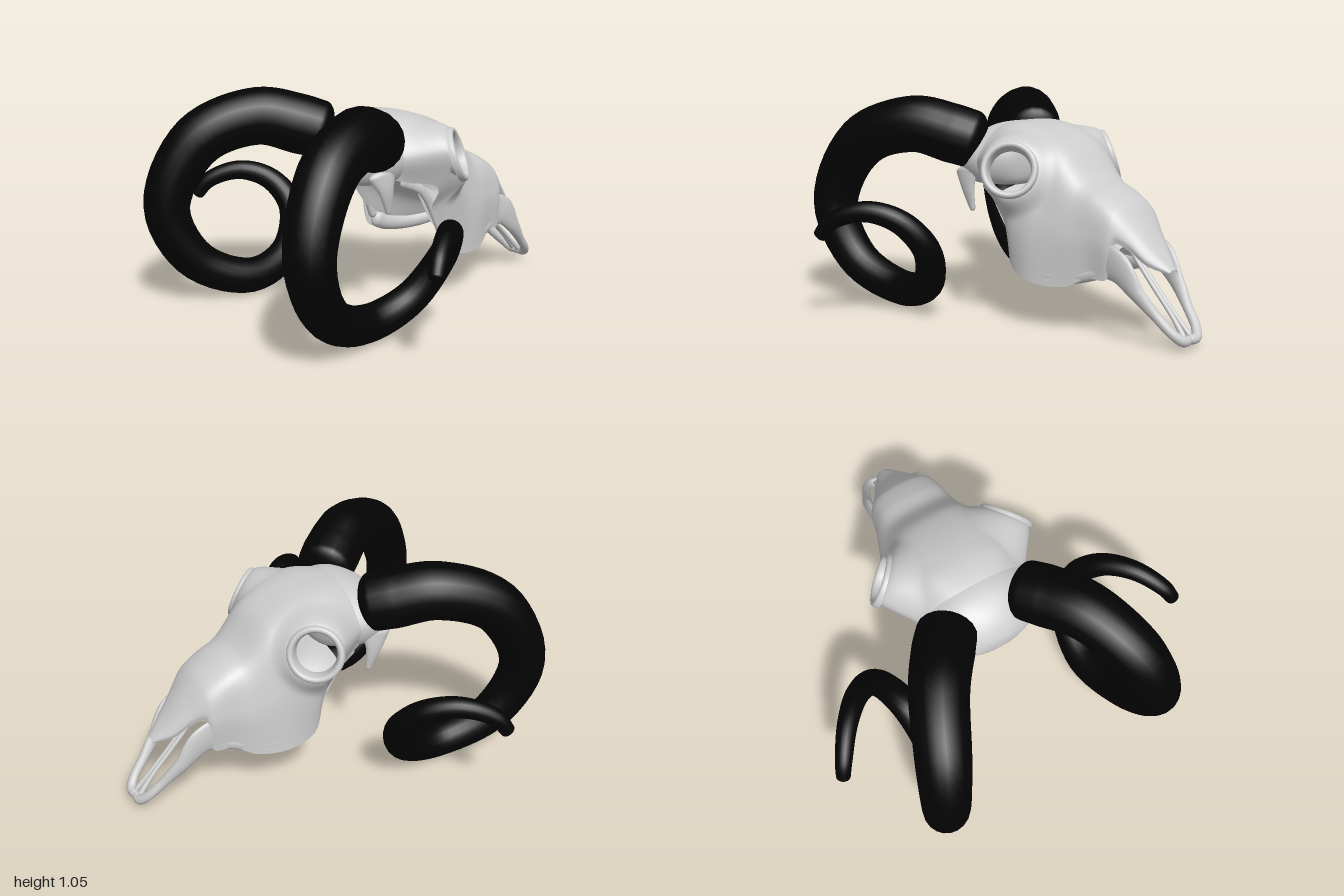
import * as THREE from 'three';

const bone = new THREE.MeshStandardMaterial({ color: 0xcccccc, side: THREE.DoubleSide });
const hornMaterial = new THREE.MeshStandardMaterial({ color: 0x030303 });
const V = (x, y, z) => new THREE.Vector3(x, y, z);

// Skin rows of points into a smooth surface; drop(p) leaves holes
function skin(rows, drop = () => false) {
  const n = rows[0].length, pts = rows.flat(), index = [];
  for (let i = 0; i < rows.length - 1; i++) {
    for (let j = 0; j < n - 1; j++) {
      const a = i * n + j, b = a + 1, c = a + n, d = c + 1;
      const mid = pts[a].clone().add(pts[d]).multiplyScalar(0.5);
      if (!drop(mid)) index.push(a, b, c, b, d, c);
    }
  }
  const g = new THREE.BufferGeometry().setFromPoints(pts);
  g.setIndex(index);
  g.computeVertexNormals();
  return g;
}

// Rows of symmetric arches; each station is [z, x0, y0, x1, y1, ...] from the crown down
function arches(stations, nu, nv) {
  const count = (stations[0].length - 1) / 2, rails = [], rows = [];
  for (let k = 0; k < count; k++) {
    rails.push(new THREE.CatmullRomCurve3(stations.map(s => V(s[1 + 2 * k], s[2 + 2 * k], s[0]))));
  }
  for (let i = 0; i <= nu; i++) {
    const half = rails.map(r => r.getPoint(i / nu));
    const mirrored = half.slice(1).reverse().map(p => V(-p.x, p.y, p.z));
    rows.push(new THREE.CatmullRomCurve3([...mirrored, ...half]).getPoints(nv));
  }
  return rows;
}

// Sweep an ellipse along points [x, y, z, width radius, height radius], with rounded ends
function sweep(points, side, steps, sides, cap = 1) {
  const curve = new THREE.CatmullRomCurve3(points.map(p => V(p[0] * side, p[1], p[2])));
  const start = curve.getPoint(0), end = curve.getPoint(1), normal = V(1, 0, 0), rows = [];
  for (let i = 0; i <= steps; i++) {
    const t = (1 - Math.cos(Math.PI * i / steps)) / 2;
    const p = curve.getPoint(t), tangent = curve.getTangent(t);
    normal.addScaledVector(tangent, -normal.dot(tangent)).normalize();
    const binormal = tangent.clone().cross(normal);
    const f = t * (points.length - 1), k = Math.min(Math.floor(f), points.length - 2);
    const radius = c => THREE.MathUtils.lerp(points[k][c] ?? points[k][3], points[k + 1][c] ?? points[k + 1][3], f - k);
    const rx = radius(3), ry = radius(4);
    const s = Math.min(1, Math.min(p.distanceTo(start), p.distanceTo(end)) / (cap * Math.min(rx, ry)));
    const round = Math.sqrt(1 - (1 - s) ** 2), row = [];
    for (let j = 0; j <= sides; j++) {
      const a = j / sides * Math.PI * 2;
      row.push(p.clone().addScaledVector(normal, Math.cos(a) * rx * round)
        .addScaledVector(binormal, Math.sin(a) * ry * round));
    }
    rows.push(row);
  }
  const g = skin(rows);
  // Share normals across the seam of each ring
  const nor = g.attributes.normal;
  for (let i = 0; i <= steps; i++) {
    const a = i * (sides + 1), b = a + sides;
    const m = V(nor.getX(a) + nor.getX(b), nor.getY(a) + nor.getY(b), nor.getZ(a) + nor.getZ(b)).normalize();
    nor.setXYZ(a, m.x, m.y, m.z);
    nor.setXYZ(b, m.x, m.y, m.z);
  }
  return g;
}

const socketCentre = V(0.345, 0.755, -0.175);
const socketAxis = V(0.73, 0.32, -0.6).normalize();

// Position relative to the nearer eye socket: height along its axis, distance from it
function socketCoords(p) {
  const d = V(Math.abs(p.x), p.y, p.z).sub(socketCentre);
  const along = d.dot(socketAxis);
  return { along, dist: d.addScaledVector(socketAxis, -along).length() };
}

// Flare the face outward so that it meets the socket rim
function flare(p) {
  const { along, dist } = socketCoords(p);
  const { smoothstep } = THREE.MathUtils;
  const w = (1 - smoothstep(dist, 0.12, 0.22)) * smoothstep(along, -0.26, -0.13);
  const shift = w * (-0.005 - along);
  p.x += Math.sign(p.x) * socketAxis.x * shift;
  p.y += socketAxis.y * shift;
  p.z += socketAxis.z * shift;
}

function inSocket(p) {
  const { along, dist } = socketCoords(p);
  return Math.abs(along) < 0.16 && dist < 0.118;
}

export function createModel() {
  const model = new THREE.Group();
  const add = (name, geometry, material = bone) => {
    const mesh = new THREE.Mesh(geometry, material);
    mesh.name = name;
    model.add(mesh);
    return mesh;
  };

  // Closed, rounded rear of the skull
  add('braincase', skin(arches([
    [0.38, 0, 0.712, 0.001, 0.712, 0.002, 0.711, 0.001, 0.71, 0, 0.71],
    [0.365, 0, 0.79, 0.07, 0.78, 0.12, 0.72, 0.08, 0.67, 0, 0.66],
    [0.30, 0, 0.87, 0.13, 0.84, 0.24, 0.74, 0.19, 0.65, 0, 0.64],
    [0.20, 0, 0.92, 0.15, 0.895, 0.285, 0.77, 0.24, 0.65, 0, 0.635],
    [0.10, 0, 0.93, 0.16, 0.90, 0.275, 0.77, 0.23, 0.65, 0, 0.635],
    [-0.01, 0, 0.90, 0.13, 0.88, 0.20, 0.77, 0.15, 0.66, 0, 0.64],
    [-0.06, 0, 0.80, 0.02, 0.79, 0.03, 0.77, 0.02, 0.74, 0, 0.73],
  ], 48, 56)));

  // Hollow face, running out into the pointed nasal roof
  const face = arches([
    [0.18, 0, 0.915, 0.13, 0.89, 0.26, 0.77, 0.23, 0.66],
    [0.09, 0, 0.937, 0.165, 0.908, 0.288, 0.77, 0.262, 0.64],
    [0.0, 0, 0.945, 0.19, 0.915, 0.31, 0.765, 0.285, 0.59],
    [-0.08, 0, 0.937, 0.205, 0.90, 0.335, 0.75, 0.28, 0.46],
    [-0.14, 0, 0.922, 0.20, 0.885, 0.325, 0.69, 0.30, 0.285],
    [-0.22, 0, 0.893, 0.18, 0.86, 0.295, 0.62, 0.305, 0.245],
    [-0.31, 0, 0.845, 0.16, 0.81, 0.258, 0.55, 0.29, 0.225],
    [-0.44, 0, 0.715, 0.15, 0.675, 0.228, 0.48, 0.245, 0.23],
    [-0.54, 0, 0.672, 0.148, 0.63, 0.20, 0.48, 0.20, 0.28],
    [-0.63, 0, 0.62, 0.135, 0.58, 0.18, 0.47, 0.176, 0.285],
    [-0.66, 0, 0.59, 0.12, 0.555, 0.155, 0.49, 0.15, 0.45],
    [-0.71, 0, 0.53, 0.09, 0.505, 0.122, 0.46, 0.118, 0.425],
    [-0.79, 0, 0.43, 0.055, 0.42, 0.085, 0.385, 0.08, 0.36],
    [-0.875, 0, 0.345, 0.014, 0.342, 0.025, 0.335, 0.023, 0.325],
  ], 156, 110);
  face.flat().forEach(flare);
  add('face', skin(face, inSocket));

  // Arched palate between the jaws
  add('palate', skin(arches([
    [0.02, 0, 0.64, 0.12, 0.635, 0.22, 0.61, 0.27, 0.58],
    [-0.12, 0, 0.58, 0.12, 0.57, 0.21, 0.50, 0.25, 0.38],
    [-0.35, 0, 0.48, 0.10, 0.465, 0.18, 0.40, 0.23, 0.29],
    [-0.62, 0, 0.42, 0.07, 0.41, 0.125, 0.36, 0.16, 0.32],
  ], 24, 32)));

  // Socket profile: inner wall and rolled rim
  const rim = new THREE.SplineCurve([
    [0.096, -0.06], [0.098, -0.03], [0.106, 0.004], [0.12, 0.013], [0.133, 0.005], [0.137, -0.02],
  ].map(p => new THREE.Vector2(...p))).getPoints(24);

  for (const side of [1, -1]) {
    const label = side > 0 ? 'left' : 'right';
    const part = (name, points, steps = 32, sides = 14) => add(label + name, sweep(points, side, steps, sides));

    // Eye socket
    const socket = add(label + 'EyeSocket', new THREE.LatheGeometry(rim, 40));
    socket.position.set(socketCentre.x * side, socketCentre.y, socketCentre.z);
    socket.quaternion.setFromUnitVectors(V(0, 1, 0), V(socketAxis.x * side, socketAxis.y, socketAxis.z));

    // Jaw edges and rear prong
    part('ToothRow', [[0.26, 0.325, -0.15, 0.03, 0.045], [0.262, 0.288, -0.22, 0.036, 0.045],
      [0.245, 0.268, -0.34, 0.032, 0.04], [0.208, 0.275, -0.46, 0.024, 0.034], [0.162, 0.32, -0.62, 0.012, 0.03]]);
    part('JawEdge', [[0.245, 0.65, 0.10, 0.014, 0.03], [0.268, 0.59, -0.005, 0.014, 0.022],
      [0.262, 0.46, -0.095, 0.014, 0.022], [0.268, 0.32, -0.155, 0.022, 0.022]]);
    part('RearProng', [[0.25, 0.72, 0.23, 0.03, 0.09], [0.265, 0.62, 0.21, 0.02, 0.045], [0.255, 0.50, 0.185, 0.011, 0.014]]);

    // Snout prongs: flat outer bar curving to the tip, thin inner rod
    part('SnoutBar', [[0.165, 0.38, -0.58, 0.012, 0.09], [0.158, 0.345, -0.69, 0.022, 0.075],
      [0.143, 0.245, -0.785, 0.025, 0.04], [0.112, 0.155, -0.87, 0.023, 0.024],
      [0.082, 0.08, -0.945, 0.024, 0.022], [0.045, 0.045, -0.975, 0.024, 0.024], [-0.01, 0.045, -0.97, 0.022, 0.022]], 56);
    part('SnoutRod', [[0.022, 0.05, -0.965, 0.014], [0.012, 0.14, -0.88, 0.011],
      [0.01, 0.25, -0.77, 0.011], [0.01, 0.41, -0.62, 0.011]]);

    // Spiral horn
    add(label + 'Horn', sweep([
      [0.17, 0.825, 0.185, 0.14], [0.27, 0.872, 0.31, 0.147], [0.385, 0.915, 0.48, 0.14],
      [0.51, 0.81, 0.745, 0.13], [0.58, 0.49, 0.89, 0.112], [0.535, 0.205, 0.765, 0.099],
      [0.46, 0.088, 0.49, 0.088], [0.49, 0.165, 0.255, 0.078], [0.58, 0.36, 0.148, 0.067],
      [0.69, 0.50, 0.20, 0.058], [0.80, 0.55, 0.32, 0.05], [0.895, 0.50, 0.455, 0.042],
      [0.937, 0.415, 0.515, 0.034],
    ], side, 120, 20, 0.5), hornMaterial);
  }
  return model;
}
